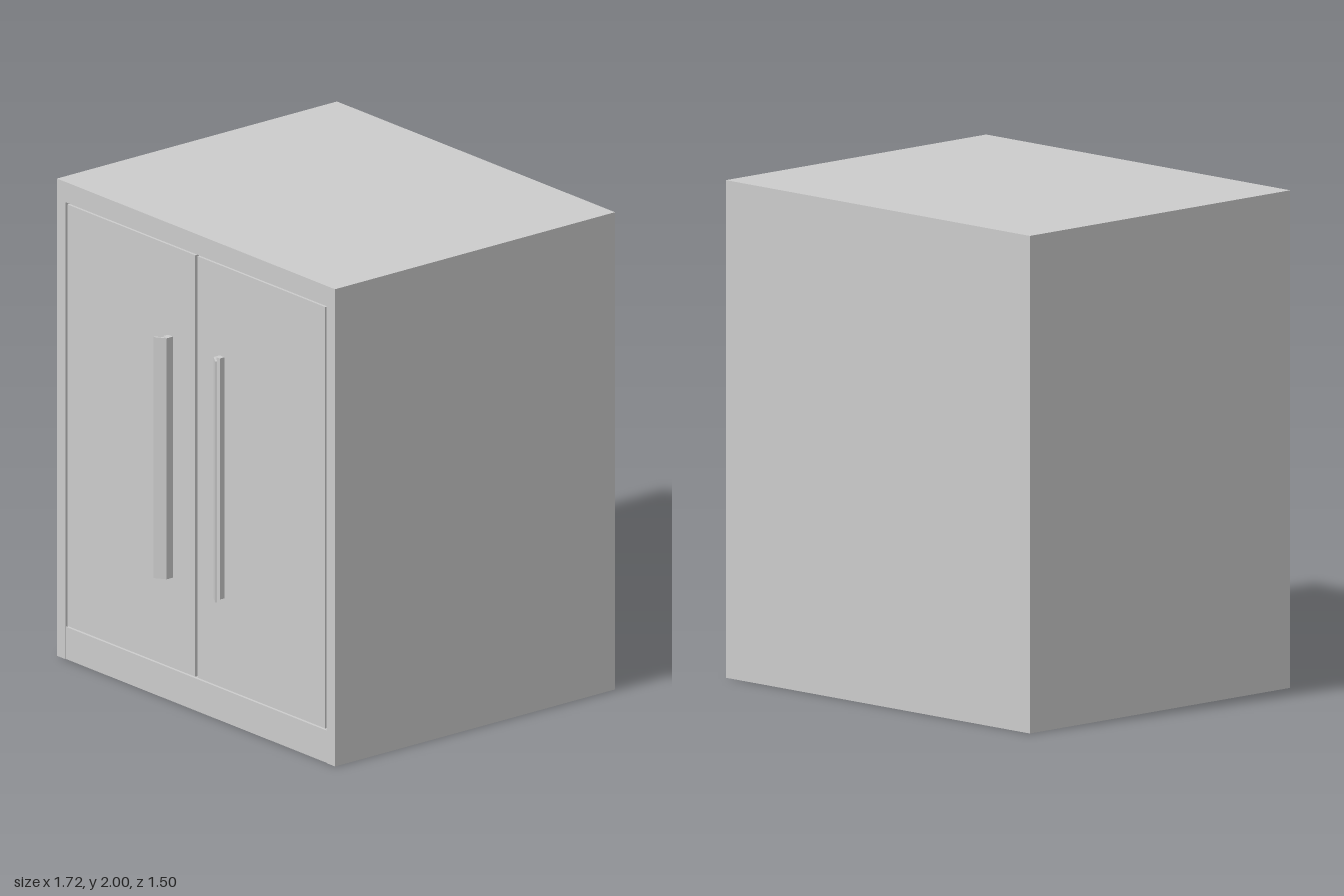
import * as THREE from 'three';

const material = new THREE.MeshStandardMaterial({ color: 0xcccccc });

// Board spanning two opposite corners
function board(name, [x0, y0, z0], [x1, y1, z1]) {
  const mesh = new THREE.Mesh(new THREE.BoxGeometry(x1 - x0, y1 - y0, z1 - z0), material);
  mesh.name = name;
  mesh.position.set((x0 + x1) / 2, (y0 + y1) / 2, (z0 + z1) / 2);
  return mesh;
}

// Upright pull: a square foot against the door with an angled finger lip
function handle(name, side) {
  const profile = [
    [0.145, 0.685], [0.175, 0.685], [0.175, 0.713], [0.155, 0.715],
    [0.195, 0.744], [0.19, 0.75], [0.145, 0.72],
  ];
  // Shape y becomes -z once the extrusion is stood upright
  const shape = new THREE.Shape(profile.map(([x, z]) => new THREE.Vector2(side * x, -z)));
  const geometry = new THREE.ExtrudeGeometry(shape, { depth: 1.01, bevelEnabled: false });
  geometry.rotateX(-Math.PI / 2);
  const mesh = new THREE.Mesh(geometry, material);
  mesh.name = name;
  mesh.position.y = 0.52;
  return mesh;
}

export function createModel() {
  const cabinet = new THREE.Group();
  cabinet.name = 'cabinet';

  const W = 0.86, T = 0.052, BACK = -0.75, FRONT = 0.69, TOP = 1.915;
  const inner = W - T;

  // Carcass
  cabinet.add(
    board('topBoard', [-W, TOP, BACK], [W, 2, FRONT]),
    board('backPanel', [-W, 0, BACK], [W, TOP, BACK + 0.058]),
    board('bottomPanel', [-inner, 0, BACK + 0.058], [inner, 0.05, FRONT - 0.055]),
    board('kickBoard', [-inner, 0, FRONT - 0.055], [inner, 0.135, FRONT - 0.003]),
  );

  // Sides, doors and handles, mirrored about the middle
  for (const side of [-1, 1]) {
    const label = side > 0 ? 'left' : 'right';
    const span = (a, b) => (side > 0 ? [a, b] : [-b, -a]);
    const [s0, s1] = span(inner, W);
    cabinet.add(board(label + 'SidePanel', [s0, 0, BACK + 0.058], [s1, TOP, FRONT]));
    const [d0, d1] = span(0.007, 0.797);
    cabinet.add(board(label + 'Door', [d0, 0.142, FRONT - 0.055], [d1, 1.908, FRONT - 0.002]));
    cabinet.add(handle(label + 'Handle', side));
  }
  return cabinet;
}
